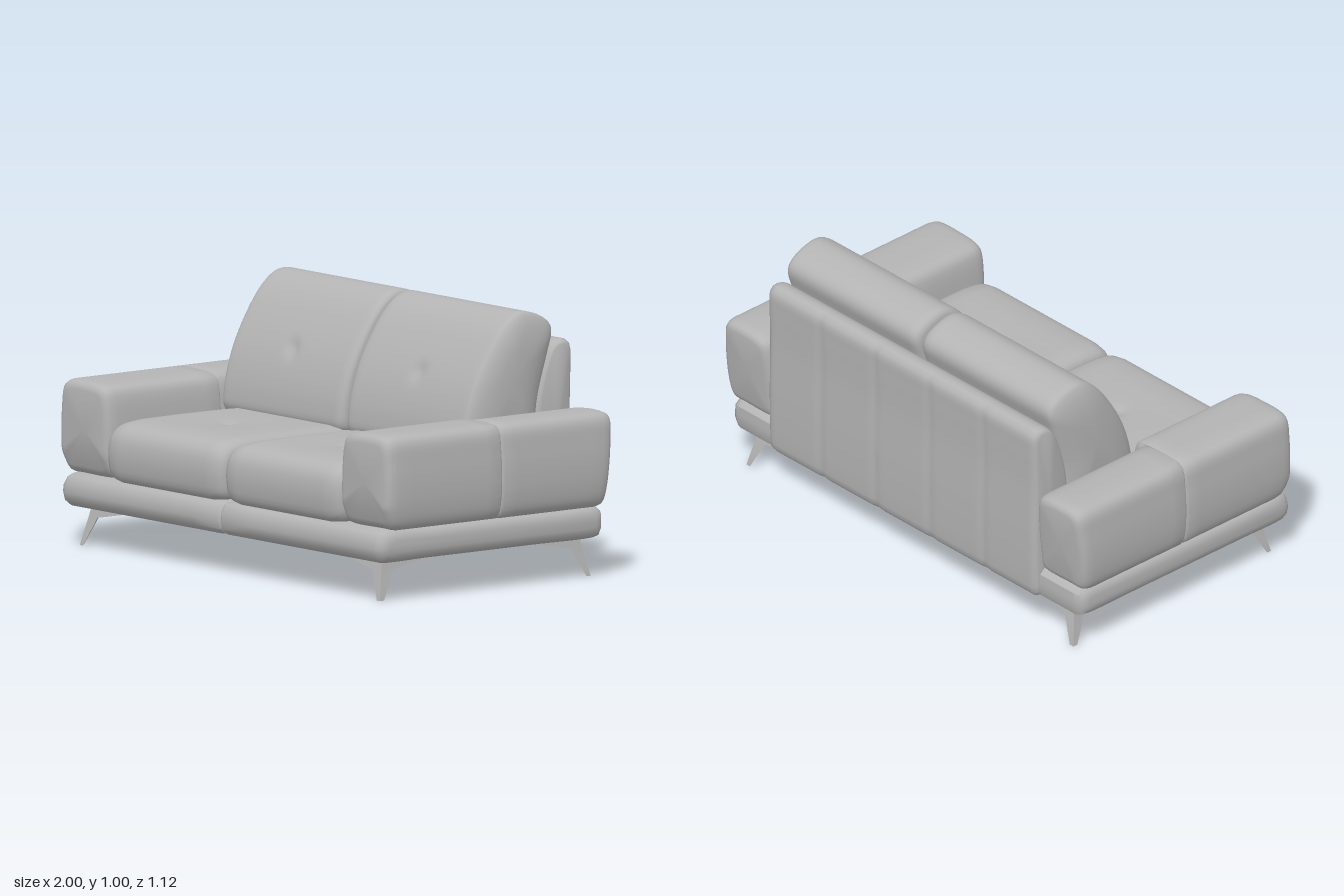
import * as THREE from 'three';
import { toCreasedNormals } from 'three/addons/utils/BufferGeometryUtils.js';

const leather = new THREE.MeshStandardMaterial({ color: 0xb4b4b4 });
leather.name = 'grey leather';

// Skins a row of closed rings, caps both ends and makes the faces point outwards
function skin(rings, crease) {
  const n = rings[0].length;
  const pts = rings.flat();
  let faces = [];
  for (let r = 0; r < rings.length - 1; r++) {
    for (let i = 0; i < n; i++) {
      const j = (i + 1) % n, a = r * n, b = a + n;
      faces.push([a + i, a + j, b + j], [a + i, b + j, b + i]);
    }
  }
  [0, rings.length - 1].forEach((r) => {
    const c = pts.length;
    const mid = new THREE.Vector3();
    rings[r].forEach((p) => mid.addScaledVector(p, 1 / n));
    pts.push(mid);
    for (let i = 0; i < n; i++) {
      const a = r * n + i, b = r * n + (i + 1) % n;
      faces.push(r ? [a, b, c] : [b, a, c]);
    }
  });
  let volume = 0;
  const cross = new THREE.Vector3();
  faces.forEach(([a, b, c]) => { volume += pts[a].dot(cross.crossVectors(pts[b], pts[c])); });
  if (volume < 0) faces = faces.map(([a, b, c]) => [a, c, b]);
  const g = new THREE.BufferGeometry().setFromPoints(pts);
  g.setIndex(faces.flat());
  return toCreasedNormals(g, crease);
}

// Runs a smooth closed profile along x or z; each station is [position, inset]
function loft(profile, axis, stations, deform, samples = 72) {
  const curve = new THREE.CatmullRomCurve3(
    profile.map(([a, b]) => new THREE.Vector3(a, b, 0)), true, 'centripetal');
  const ring = curve.getSpacedPoints(samples).slice(0, samples);
  const box = new THREE.Box3().setFromPoints(ring);
  const c = box.getCenter(new THREE.Vector3());
  const s = box.getSize(new THREE.Vector3());
  const rings = stations.map(([t, inset]) => ring.map((p) => {
    const a = c.x + (p.x - c.x) * (1 - 2 * inset / s.x);
    const b = c.y + (p.y - c.y) * (1 - 2 * inset / s.y);
    const v = axis === 'x' ? new THREE.Vector3(t, b, a) : new THREE.Vector3(a, b, t);
    if (deform) deform(v);
    return v;
  }));
  return skin(rings, 0.75);
}

// Stations from t0 to t1 with rounded ends given as [distance from end, inset]
function span(t0, t1, start, end, n) {
  const dir = Math.sign(t1 - t0);
  const first = start.map(([d, i]) => [t0 + dir * d, i]);
  const last = end.map(([d, i]) => [t1 - dir * d, i]).reverse();
  const a = first[first.length - 1][0], b = last[0][0];
  const middle = [];
  for (let k = 1; k < n; k++) middle.push([a + (b - a) * k / n, 0]);
  return [...first, ...middle, ...last];
}

const bump = (x, y, r) => Math.exp(-(x * x + y * y) / (r * r));

export function createModel() {
  const model = new THREE.Group();
  model.name = 'sofa';
  const add = (name, geometry) => {
    const mesh = new THREE.Mesh(geometry, leather);
    mesh.name = name;
    model.add(mesh);
  };

  const baseProfile = [[0.53, 0.151], [0.548, 0.16], [0.56, 0.195], [0.557, 0.235], [0.54, 0.265],
    [0.52, 0.274], [0.3, 0.275], [-0.3, 0.275], [-0.505, 0.274], [-0.525, 0.265], [-0.53, 0.23],
    [-0.53, 0.18], [-0.52, 0.157], [-0.5, 0.151], [-0.2, 0.15], [0.3, 0.15]];
  const seatProfile = [[0.52, 0.272], [0.542, 0.29], [0.555, 0.35], [0.555, 0.4], [0.543, 0.45],
    [0.51, 0.485], [0.44, 0.501], [0.3, 0.505], [0.1, 0.505], [-0.2, 0.5], [-0.38, 0.495],
    [-0.4, 0.48], [-0.4, 0.29], [-0.39, 0.272], [0, 0.27]];
  const cushionProfile = [[-0.04, 0.5], [-0.04, 0.56], [-0.055, 0.64], [-0.09, 0.74], [-0.15, 0.85],
    [-0.22, 0.944], [-0.28, 0.992], [-0.33, 1.005], [-0.42, 0.98], [-0.46, 0.948], [-0.468, 0.915],
    [-0.45, 0.85], [-0.4, 0.68], [-0.37, 0.5], [-0.355, 0.48], [-0.2, 0.478], [-0.06, 0.48]];
  const backProfile = [[-0.47, 0.868], [-0.49, 0.88], [-0.515, 0.885], [-0.542, 0.878], [-0.556, 0.855],
    [-0.556, 0.8], [-0.552, 0.64], [-0.555, 0.4], [-0.55, 0.2], [-0.545, 0.165], [-0.53, 0.153],
    [-0.42, 0.153], [-0.4, 0.17], [-0.385, 0.4], [-0.385, 0.64], [-0.44, 0.82]];
  const armProfile = (inner) => [[inner + 0.005, 0.285], [inner, 0.34], [inner, 0.48],
    [inner + 0.012, 0.585], [inner + 0.025, 0.613], [inner + 0.06, 0.628], [0.85, 0.635],
    [0.93, 0.634], [0.968, 0.625], [0.985, 0.603], [0.995, 0.53], [1, 0.45], [0.997, 0.36],
    [0.985, 0.3], [0.968, 0.276], [0.9, 0.273], [inner + 0.02, 0.275]];

  const seam = [[0, 0.008], [0.004, 0.003], [0.012, 0]];
  const softEnd = [[0, 0.045], [0.004, 0.03], [0.014, 0.015], [0.035, 0.006], [0.08, 0]];

  [1, -1].forEach((s) => {
    const side = s > 0 ? 'left' : 'right';
    const mirror = (v) => { v.x *= s; };

    // Plinth half with a bulging outer end
    add(side + 'Base', loft(baseProfile, 'x',
      span(0.001, 0.972, seam, [[0, 0.045], [0.003, 0.03], [0.012, 0.014], [0.03, 0.003], [0.045, 0]], 6), mirror));

    // Seat cushion with a button dimple
    add(side + 'SeatCushion', loft(seatProfile, 'x', span(0.003, 0.708, softEnd, softEnd, 30), (v) => {
      if (v.y > 0.45) {
        v.y -= 0.012 * bump(v.x - 0.37, v.z - 0.22, 0.03) + 0.005 * bump(v.x - 0.37, v.z - 0.22, 0.1);
      }
      mirror(v);
    }, 110));

    // Back cushion: straight inner end, bulging outer end, button dimple
    add(side + 'BackCushion', loft(cushionProfile, 'x', span(0.008, 0.762,
      [[0, 0.03], [0.004, 0.016], [0.014, 0.006], [0.03, 0]],
      [[0, 0.14], [0.006, 0.09], [0.016, 0.045], [0.028, 0.015], [0.038, 0.003], [0.05, 0]], 30), (v) => {
      if (v.z > -0.2) v.z -= 0.014 * bump(v.x - 0.38, v.y - 0.755, 0.03);
      mirror(v);
    }, 90));

    // Armrest in two pieces meeting at a seam
    const armEnd = [[0, 0.035], [0.004, 0.02], [0.014, 0.009], [0.03, 0.003], [0.055, 0]];
    const armSeam = [[0, 0.006], [0.004, 0.002], [0.01, 0]];
    add(side + 'ArmFront', loft(armProfile(0.695), 'z', span(-0.01, 0.543, armSeam, armEnd, 8), (v) => {
      if (v.z > 0.4) v.z -= 0.03 * Math.max(0, (0.36 - v.y) / 0.09) * (v.z - 0.4) / 0.14;
      mirror(v);
    }));
    add(side + 'ArmBack', loft(armProfile(0.735), 'z', span(-0.01, -0.563, armSeam, armEnd, 8), (v) => {
      if (v.z < -0.35) v.z += 0.035 * ((0.62 - v.y) / 0.34) * (-0.35 - v.z) / 0.21;
      mirror(v);
    }));

    // Splayed corner legs with tapering brackets
    [1, -1].forEach((f) => {
      const ring = (y, x, z, wx, wz) => [[x, z], [wx, z], [wx + (x - wx) * 0.55, wz + (z - wz) * 0.55], [x, wz]]
        .map(([a, b]) => new THREE.Vector3(a * s, y, b * f));
      add(side + (f > 0 ? 'FrontLeg' : 'BackLeg'), skin([
        ring(0.152, 0.875, 0.475, 0.61, 0.2),
        ring(0.11, 0.882, 0.485, 0.83, 0.43),
        ring(0, 0.905, 0.51, 0.885, 0.49),
      ], 0.3));
    });
  });

  // Backrest shell with shallow upright seams behind
  add('backrest', loft(backProfile, 'x',
    span(-0.742, 0.742, [[0, 0.02], [0.004, 0.01], [0.015, 0.003], [0.03, 0]],
      [[0, 0.02], [0.004, 0.01], [0.015, 0.003], [0.03, 0]], 96), (v) => {
      if (v.z < -0.5) [-0.45, -0.15, 0.15, 0.45].forEach((x) => { v.z += 0.005 * bump(v.x - x, 0, 0.018); });
    }));

  return model;
}
